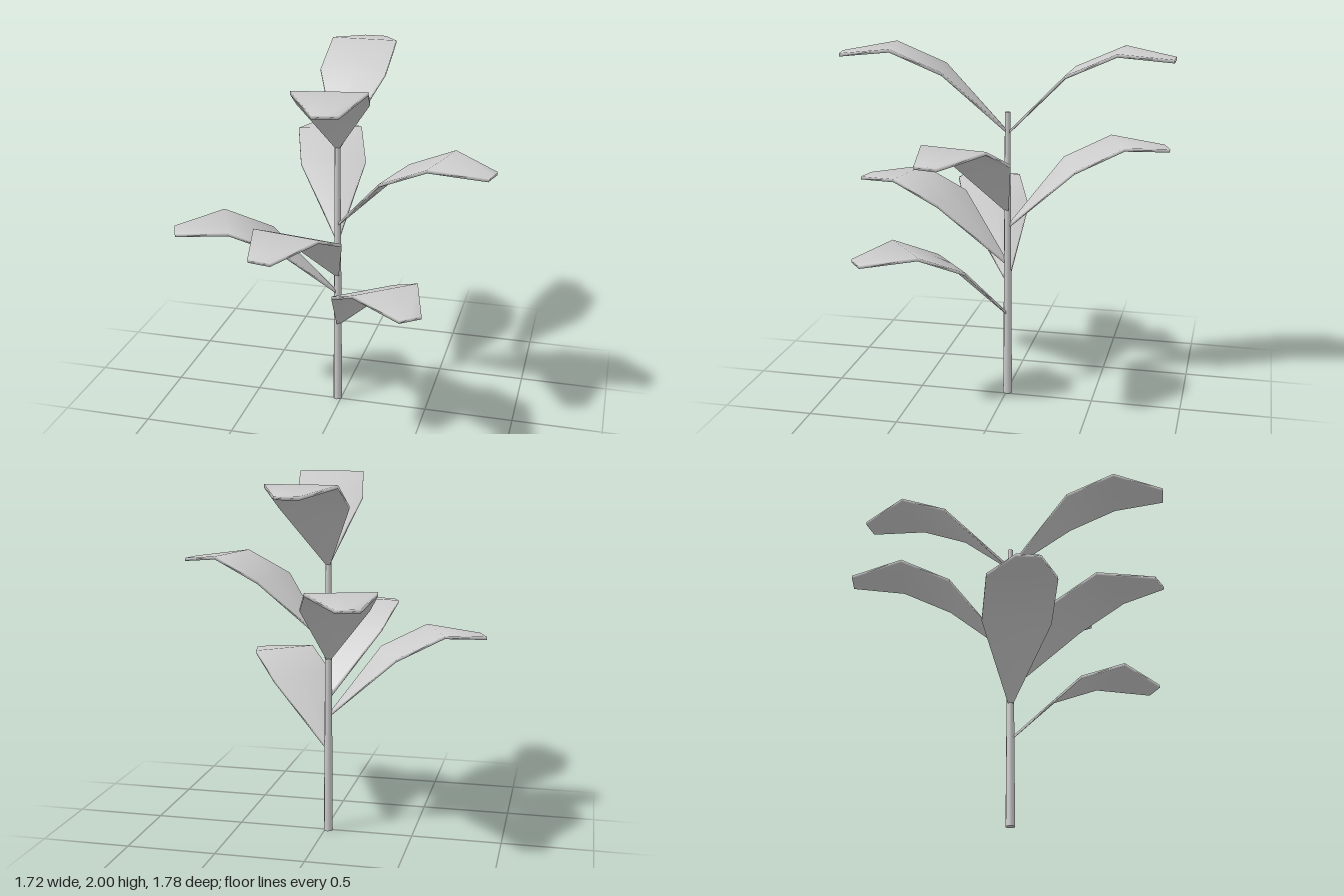
import * as THREE from 'three';
import { mergeVertices } from 'three/addons/utils/BufferGeometryUtils.js';

const STEM_X = -0.02, STEM_Z = -0.008;

// Leaf cross-sections from stalk to tip: distance, height of upper face, half width
const SECTIONS = [
  [0.012, 0, 0.012],
  [0.34, 0.33, 0.185],
  [0.61, 0.45, 0.185],
  [0.89, 0.412, 0.062],
];
const THICKNESS = 0.018;

// A thin slab bent and widened along +z by the sections
function leafGeometry() {
  const box = new THREE.BoxGeometry(2, 1, 3, 2, 1, 3);
  box.deleteAttribute('uv');
  box.deleteAttribute('normal');
  const geo = mergeVertices(box);
  const pos = geo.attributes.position;
  for (let i = 0; i < pos.count; i++) {
    const [dist, height, half] = SECTIONS[Math.round(pos.getZ(i) + 1.5)];
    const drop = pos.getY(i) > 0 ? 0 : THICKNESS;
    pos.setXYZ(i, pos.getX(i) * half, height - drop, dist);
  }
  geo.computeVertexNormals();
  return geo;
}

export function createModel() {
  const plant = new THREE.Group();
  plant.name = 'plant';
  const material = new THREE.MeshStandardMaterial({ color: 0xcccccc });

  // Tapered upright stem
  const stem = new THREE.Mesh(new THREE.CylinderGeometry(0.015, 0.026, 1.64, 8), material);
  stem.name = 'stem';
  stem.position.set(STEM_X, 0.82, STEM_Z);
  plant.add(stem);

  // Leaves: attachment height, then the x and z of the tip
  const leaves = [
    [0.50, 0.53, 0.69],
    [0.695, -0.84, 0.335],
    [0.80, -0.19, 0.885],
    [1.015, -0.305, -0.855],
    [1.107, 0.84, 0.205],
    [1.543, -0.02, -0.9],
    [1.55, 0.15, 0.875],
  ];
  const geometry = leafGeometry();
  leaves.forEach(([height, tipX, tipZ], i) => {
    const leaf = new THREE.Mesh(geometry, material);
    leaf.name = `leaf${i + 1}`;
    leaf.position.set(STEM_X, height, STEM_Z);
    leaf.rotation.y = Math.atan2(tipX - STEM_X, tipZ - STEM_Z);
    plant.add(leaf);
  });
  return plant;
}
